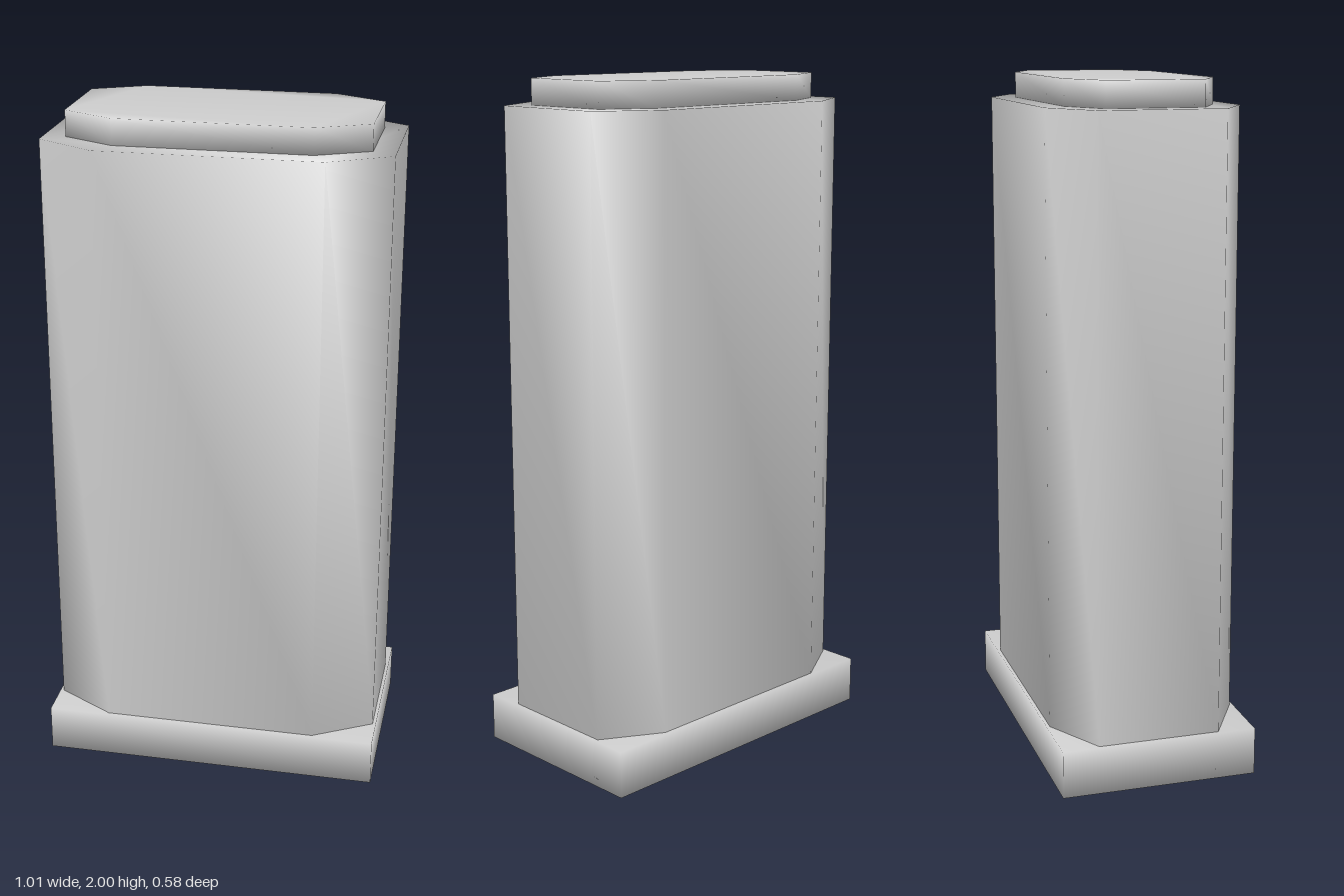
import * as THREE from 'three';
import { mergeVertices } from 'three/addons/utils/BufferGeometryUtils.js';

const material = new THREE.MeshStandardMaterial({ color: 0xcccccc });

// Upright prism with cut corners (cutX, cutZ may be 0) and soft, shared normals
function prism(name, halfX, halfZ, cutX, cutZ, bottom, top) {
  const points = [];
  for (const [sx, sz] of [[1, 1], [-1, 1], [-1, -1], [1, -1]]) {
    const side = new THREE.Vector2(sx * halfX, sz * (halfZ - cutZ));
    const end = new THREE.Vector2(sx * (halfX - cutX), sz * halfZ);
    if (cutX === 0) points.push(side);
    else points.push(...(sx * sz > 0 ? [side, end] : [end, side]));
  }
  let geometry = new THREE.ExtrudeGeometry(new THREE.Shape(points), {
    depth: top - bottom, bevelEnabled: false,
  });
  geometry.rotateX(-Math.PI / 2).translate(0, bottom, 0);
  geometry.deleteAttribute('uv');
  geometry.deleteAttribute('normal');
  geometry = mergeVertices(geometry, 1e-4);
  geometry.computeVertexNormals();
  const mesh = new THREE.Mesh(geometry, material);
  mesh.name = name;
  return mesh;
}

export function createModel() {
  const model = new THREE.Group();
  model.name = 'slimCase';
  model.add(
    prism('basePlate', 0.505, 0.29, 0, 0, 0, 0.14), // rectangular foot
    prism('body', 0.495, 0.28, 0.175, 0.1, 0.14, 1.925), // tall eight-sided body
    prism('topCap', 0.43, 0.215, 0.15, 0.075, 1.925, 2), // smaller raised lid
  );
  return model;
}
